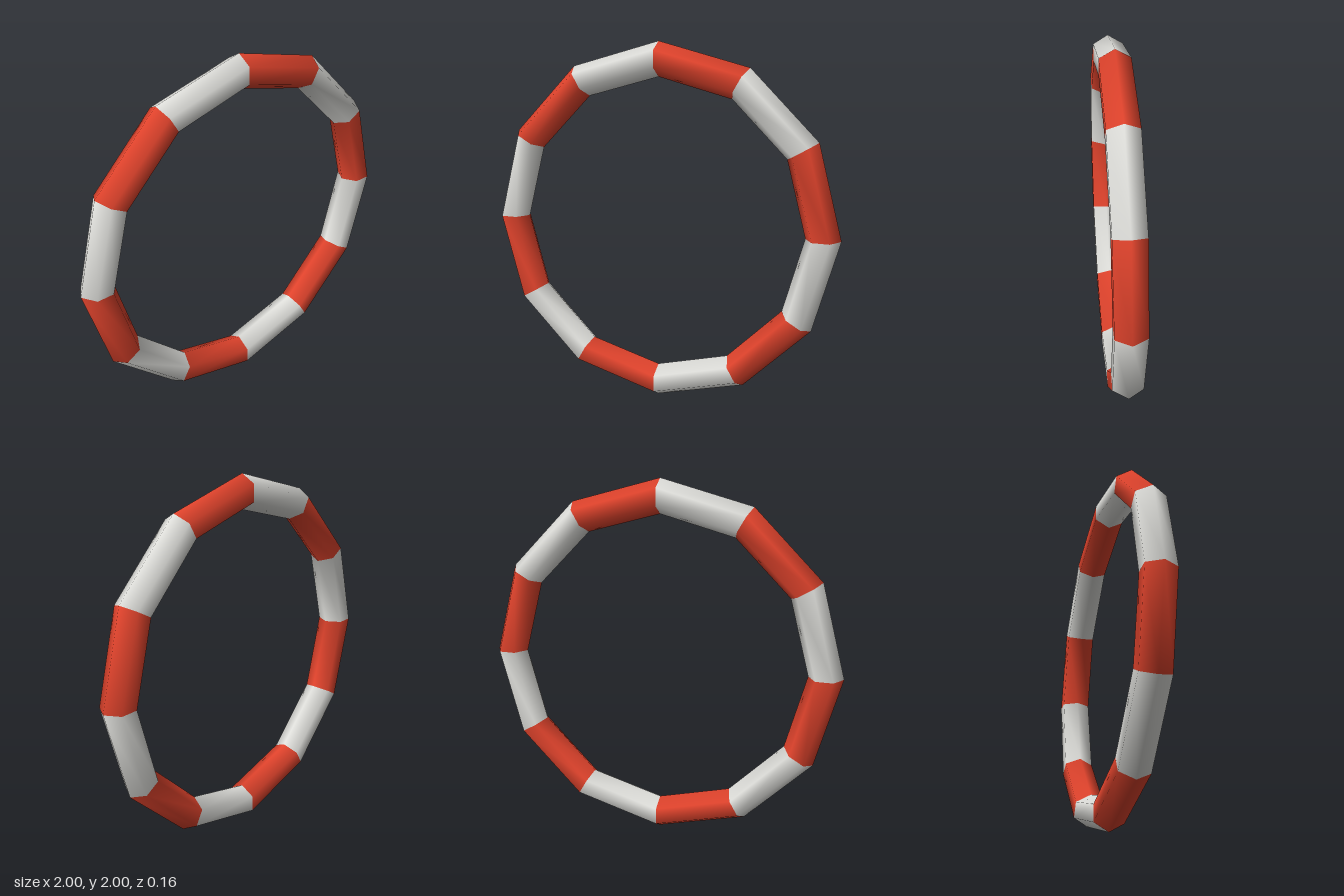
import * as THREE from 'three';

const SEGMENTS = 12;
const TUBE = 0.093;
const RADIUS = 1 - TUBE;

export function createModel() {
  const red = new THREE.MeshStandardMaterial({ color: 0xe0432c });
  red.name = 'red';
  const white = new THREE.MeshStandardMaterial({ color: 0xdededa });
  white.name = 'white';

  const ring = new THREE.Group();
  ring.name = 'ring';

  // One straight hexagonal section with smooth ring normals, repeated around the circle
  const step = (Math.PI * 2) / SEGMENTS;
  const section = new THREE.TorusGeometry(RADIUS, TUBE, 6, 1, step);
  for (let i = 0; i < SEGMENTS; i++) {
    const isRed = i % 2 === 0;
    const mesh = new THREE.Mesh(section, isRed ? red : white);
    mesh.name = isRed ? 'redSection' : 'whiteSection';
    mesh.rotation.z = i * step;
    ring.add(mesh);
  }

  // Stand the ring on the ground
  ring.position.y = 1;
  const model = new THREE.Group();
  model.name = 'stripedRing';
  model.add(ring);
  return model;
}
